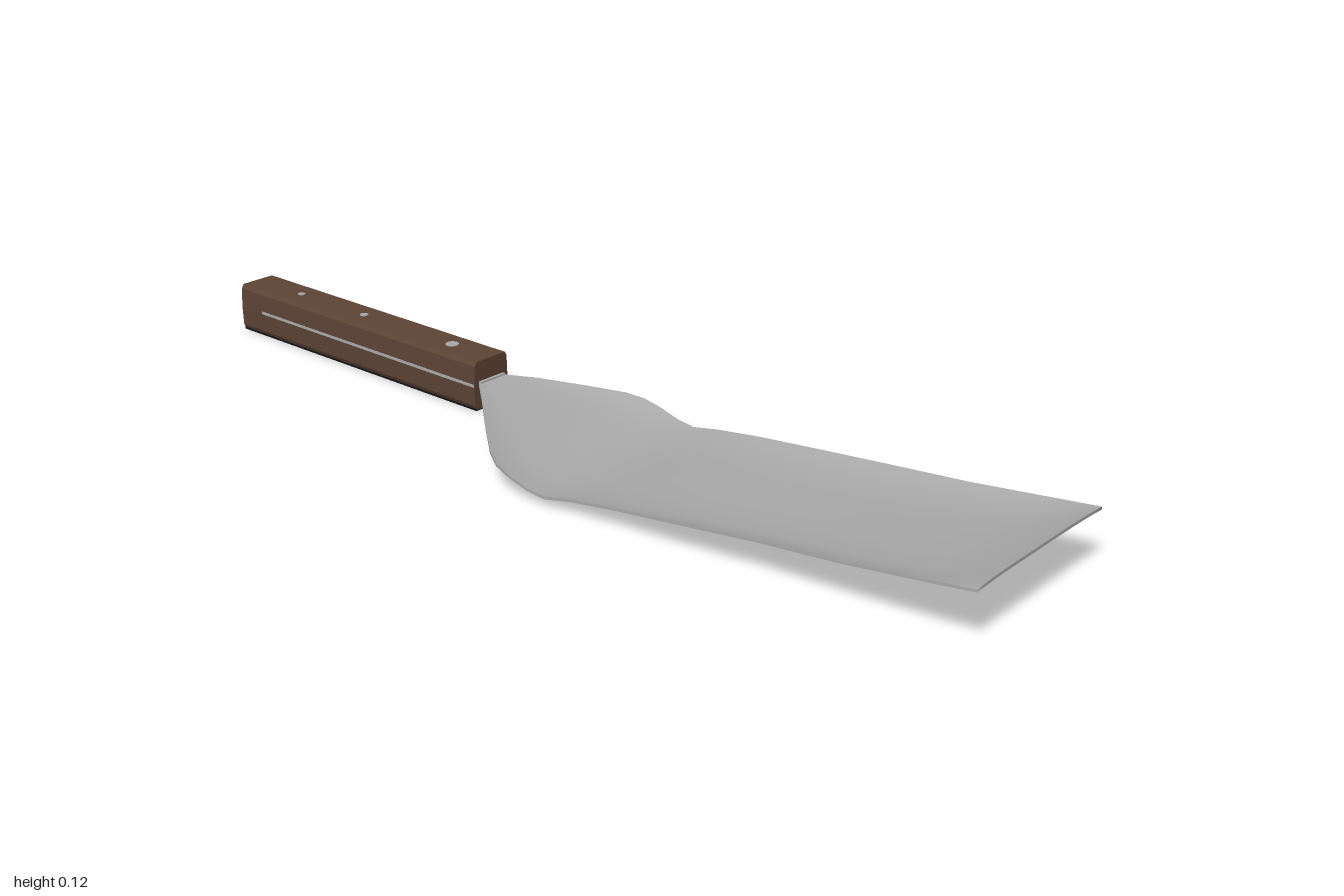
import * as THREE from 'three';

const material = (name, color, side = THREE.FrontSide) => {
  const m = new THREE.MeshStandardMaterial({ color, side });
  m.name = name;
  return m;
};

// Blade stations: x, back edge z, front edge z, underside y at centre, rise of the edges
const STATIONS = [
  [-0.30, -0.100, -0.055, 0.053, 0.000],
  [-0.27, -0.108, -0.042, 0.053, 0.000],
  [-0.20, -0.138, 0.022, 0.051, 0.004],
  [-0.10, -0.176, 0.115, 0.045, 0.008],
  [-0.02, -0.204, 0.187, 0.037, 0.014],
  [0.02, -0.214, 0.213, 0.030, 0.016],
  [0.06, -0.218, 0.220, 0.021, 0.014],
  [0.10, -0.219, 0.217, 0.013, 0.009],
  [0.14, -0.219, 0.214, 0.010, 0.006],
  [0.20, -0.220, 0.209, 0.016, 0.011],
  [0.30, -0.220, 0.205, 0.027, 0.013],
  [0.42, -0.220, 0.200, 0.035, 0.017],
  [0.60, -0.222, 0.187, 0.048, 0.020],
  [0.75, -0.223, 0.184, 0.063, 0.018],
  [0.88, -0.224, 0.180, 0.080, 0.016],
  [0.95, -0.225, 0.177, 0.095, 0.009],
  [1.00, -0.225, 0.174, 0.114, -0.004],
];
const ACROSS = 20;
const THICK = 0.006;

function bladePoint(i, j, lift) {
  const [x, back, front, y, rise] = STATIONS[i];
  const u = (j / ACROSS) * 2 - 1;
  return [x, y + rise * u ** 4 + lift, THREE.MathUtils.lerp(back, front, j / ACROSS)];
}

// Surface from a rows x columns grid of points
function gridGeometry(rows, cols, pointAt, flip = false) {
  const pos = [], index = [];
  for (let i = 0; i < rows; i++) for (let j = 0; j < cols; j++) pos.push(...pointAt(i, j));
  for (let i = 0; i < rows - 1; i++) {
    for (let j = 0; j < cols - 1; j++) {
      const a = i * cols + j, b = a + 1, c = a + cols, d = c + 1;
      if (flip) index.push(a, c, b, b, c, d);
      else index.push(a, b, c, b, d, c);
    }
  }
  const g = new THREE.BufferGeometry();
  g.setAttribute('position', new THREE.Float32BufferAttribute(pos, 3));
  g.setIndex(index);
  g.computeVertexNormals();
  return g;
}

export function createModel() {
  const steel = material('steel', 0xaaaaaa, THREE.DoubleSide);
  const wood = material('brown wood', 0x5e4436);
  const black = material('black underside', 0x141414);
  const model = new THREE.Group();
  model.name = 'spatula';

  const add = (parent, name, geometry, mat, x = 0, y = 0, z = 0) => {
    const mesh = new THREE.Mesh(geometry, mat);
    mesh.name = name;
    mesh.position.set(x, y, z);
    parent.add(mesh);
    return mesh;
  };

  // Blade: steel top, black underside and a thin rim around the outline
  const blade = new THREE.Group();
  blade.name = 'blade';
  model.add(blade);
  const n = STATIONS.length;
  add(blade, 'bladeTop', gridGeometry(n, ACROSS + 1, (i, j) => bladePoint(i, j, THICK)), steel);
  add(blade, 'bladeUnderside', gridGeometry(n, ACROSS + 1, (i, j) => bladePoint(i, j, 0), true), black);
  const outline = [];
  for (let i = 0; i < n; i++) outline.push([i, 0]);
  for (let j = 1; j <= ACROSS; j++) outline.push([n - 1, j]);
  for (let i = n - 2; i >= 0; i--) outline.push([i, ACROSS]);
  add(blade, 'bladeRim',
    gridGeometry(outline.length, 2, (k, side) => bladePoint(...outline[k], side * THICK), true), steel);

  // Handle: slightly bulged square bar, turned a little off the x axis
  const handle = new THREE.Group();
  handle.name = 'handle';
  handle.position.set(-0.635, 0, -0.081);
  handle.rotation.y = -0.01;
  model.add(handle);
  const length = 0.73;
  const half = [[0.041, 0.002], [0.046, 0.012], [0.048, 0.053], [0.046, 0.096], [0.041, 0.105]];
  const section = new THREE.Shape([
    ...half.map(([x, y]) => new THREE.Vector2(x, y)),
    ...half.slice().reverse().map(([x, y]) => new THREE.Vector2(-x, y)),
  ]);
  const bar = new THREE.ExtrudeGeometry(section, { depth: length, bevelEnabled: false });
  bar.translate(0, 0, -length / 2).rotateY(Math.PI / 2);
  add(handle, 'handleBar', bar, wood);
  add(handle, 'handleUnderside', new THREE.BoxGeometry(length, 0.004, 0.086), black, 0, 0.002, 0);

  // Tang: metal strip showing along the front side and at the neck
  add(handle, 'tangStrip', new THREE.BoxGeometry(0.66, 0.006, 0.004), steel, 0.034, 0.055, 0.0468);
  add(handle, 'tangNeck', new THREE.BoxGeometry(0.02, 0.012, 0.07), steel, 0.362, 0.056, 0);

  // Rivets set flush in the top of the handle
  for (const [x, r] of [[-0.215, 0.008], [-0.012, 0.009], [0.255, 0.014]]) {
    add(handle, 'rivet', new THREE.CylinderGeometry(r, r, 0.004, 16), steel, x, 0.1045, 0);
  }
  return model;
}
